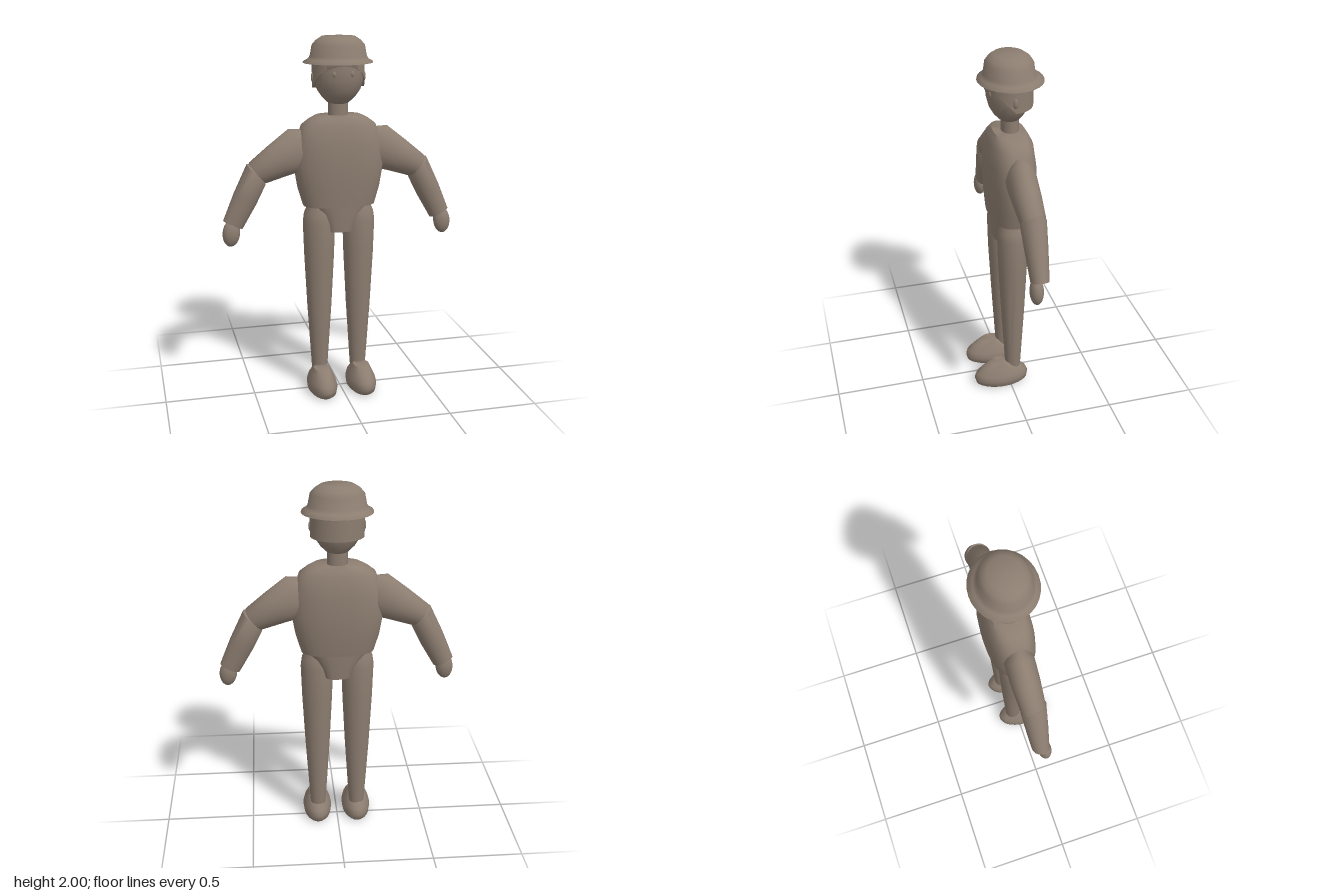
import * as THREE from 'three';
import { toCreasedNormals } from 'three/addons/utils/BufferGeometryUtils.js';

const clay = new THREE.MeshStandardMaterial({ color: 0x8c7d70 });
clay.name = 'clay brown';

// Skin closed cross-sections: { c: centre, a: in-plane radius, b: z radius, d: path direction in xy, p: squareness }
function loft(sections, { sides = 24, crease = 0.9, rule } = {}) {
  const pos = [], index = [];
  for (const { c, a, b, d = [0, 1], p = 2 } of sections) {
    const len = Math.hypot(d[0], d[1]);
    const u = [d[1] / len, -d[0] / len];
    for (let j = 0; j < sides; j++) {
      const t = (j / sides) * Math.PI * 2, co = Math.cos(t), si = Math.sin(t);
      const x = a * Math.sign(co) * Math.abs(co) ** (2 / p);
      const z = b * Math.sign(si) * Math.abs(si) ** (2 / p);
      pos.push(c[0] + u[0] * x, c[1] + u[1] * x, c[2] + z);
    }
  }
  const n = sections.length;
  for (let i = 0; i < n - 1; i++) {
    for (let j = 0; j < sides; j++) {
      const k = (j + 1) % sides, r = i * sides, q = r + sides;
      index.push(r + j, q + j, r + k, r + k, q + j, q + k);
    }
  }
  // End caps
  const first = n * sides, last = first + 1, top = (n - 1) * sides;
  pos.push(...sections[0].c, ...sections[n - 1].c);
  for (let j = 0; j < sides; j++) {
    const k = (j + 1) % sides;
    index.push(first, j, k, last, top + k, top + j);
  }
  let g = new THREE.BufferGeometry();
  g.setAttribute('position', new THREE.Float32BufferAttribute(pos, 3));
  g.setIndex(index);
  if (rule) rule(g.attributes.position);
  return toCreasedNormals(g, crease);
}

// Upright stack of sections from rows [y, x radius, z radius, z centre, squareness]
const stack = (rows, x = 0, options) =>
  loft(rows.map(([y, a, b, z, p]) => ({ c: [x, y, z], a, b, p })), options);

export function createModel() {
  const model = new THREE.Group();
  model.name = 'figure';

  const add = (name, geometry) => {
    const mesh = new THREE.Mesh(geometry, clay);
    mesh.name = name;
    model.add(mesh);
    return mesh;
  };
  const ellipsoid = (name, centre, radii) => {
    const mesh = add(name, new THREE.SphereGeometry(1, 20, 14));
    mesh.position.set(...centre);
    mesh.scale.set(...radii);
    return mesh;
  };

  // Torso, pelvis and neck
  add('torso', stack([
    [1.085, 0.2, 0.113, -0.027, 2.5],
    [1.18, 0.228, 0.124, -0.03, 2.5],
    [1.31, 0.25, 0.13, -0.03, 2.5],
    [1.42, 0.24, 0.126, -0.03, 2.5],
    [1.53, 0.205, 0.112, -0.03, 2.5],
    [1.56, 0.165, 0.097, -0.03, 2.5],
    [1.58, 0.125, 0.085, -0.03, 2.5],
  ], 0, { sides: 32 }));
  add('pelvis', stack([
    [0.94, 0.078, 0.092, -0.03, 3],
    [1.0, 0.1, 0.097, -0.03, 3],
    [1.1, 0.18, 0.1, -0.03, 2.6],
  ]));
  add('neck', stack([[1.56, 0.055, 0.047, -0.035], [1.68, 0.055, 0.047, -0.035]]));

  // Head
  add('head', stack([
    [1.637, 0.035, 0.035, -0.033],
    [1.65, 0.06, 0.055, -0.031],
    [1.68, 0.092, 0.08, -0.028],
    [1.72, 0.119, 0.101, -0.025],
    [1.77, 0.135, 0.114, -0.025],
    [1.82, 0.14, 0.118, -0.025],
    [1.88, 0.135, 0.114, -0.025],
  ]));

  // Hair: level at the back, lower edge sweeping up to the forehead
  add('hair', stack([[1.73, 0.143, 0.124, -0.03], [1.88, 0.143, 0.124, -0.03]], 0, {
    sides: 40,
    rule: (p) => {
      for (let i = 0; i < p.count; i++) {
        if (p.getY(i) < 1.8) p.setY(i, 1.73 + Math.max(0, p.getZ(i) + 0.03));
      }
    },
  }));

  // Round hat with a drooping brim
  add('hat', stack([
    [1.868, 0.14, 0.125, -0.035],
    [1.861, 0.19, 0.174, -0.037],
    [1.868, 0.188, 0.172, -0.037],
    [1.88, 0.165, 0.148, -0.034],
    [1.897, 0.154, 0.134, -0.03],
    [1.955, 0.143, 0.126, -0.03],
    [1.98, 0.121, 0.109, -0.03],
    [2.0, 0.09, 0.082, -0.03],
  ], 0, { sides: 28, crease: 1.1 }));

  for (const s of [1, -1]) {
    const side = s > 0 ? 'left' : 'right';

    // Face details
    ellipsoid(side + 'Eye', [0.049 * s, 1.81, 0.084], [0.01, 0.015, 0.006]);
    ellipsoid(side + 'Ear', [0.14 * s, 1.785, -0.027], [0.011, 0.028, 0.013]);

    // Arm from rows [x, y, in-plane radius, z radius, direction x, direction y]
    const arm = (rows) => loft(rows.map(([x, y, a, b, dx, dy]) =>
      ({ c: [x * s, y, -0.033], a, b, d: [dx * s, dy] })));
    add(side + 'UpperArm', arm([
      [0.175, 1.42, 0.095, 0.055, 0.9, -0.35],
      [0.22, 1.4, 0.125, 0.08, 0.9, -0.45],
      [0.33, 1.343, 0.1, 0.077, 0.85, -0.55],
      [0.445, 1.28, 0.074, 0.068, 0.8, -0.65],
      [0.475, 1.25, 0.05, 0.05, 0.7, -0.7],
    ]));
    add(side + 'Forearm', arm([
      [0.44, 1.29, 0.05, 0.05, 0.75, -0.65],
      [0.457, 1.27, 0.076, 0.069, 0.75, -0.65],
      [0.52, 1.14, 0.069, 0.06, 0.45, -0.9],
      [0.59, 0.998, 0.058, 0.048, 0.42, -0.9],
    ]));

    // Hand
    const hand = ellipsoid(side + 'Hand', [0.603 * s, 0.955, -0.012], [0.048, 0.075, 0.036]);
    hand.rotation.z = 0.1 * s;

    // Leg and foot
    add(side + 'Leg', stack([
      [0.09, 0.042, 0.042, -0.027],
      [0.14, 0.046, 0.046, -0.026],
      [0.5, 0.069, 0.066, -0.024],
      [0.8, 0.084, 0.08, -0.022],
      [0.99, 0.09, 0.085, -0.022],
      [1.04, 0.083, 0.08, -0.022],
      [1.1, 0.058, 0.06, -0.022],
    ], 0.113 * s));
    add(side + 'Foot', stack([
      [0.0, 0.068, 0.135, 0.042],
      [0.012, 0.078, 0.152, 0.044],
      [0.045, 0.083, 0.16, 0.045],
      [0.075, 0.076, 0.15, 0.045],
      [0.11, 0.06, 0.112, 0.045],
      [0.14, 0.046, 0.06, 0.05],
    ], 0.115 * s));
  }
  return model;
}
